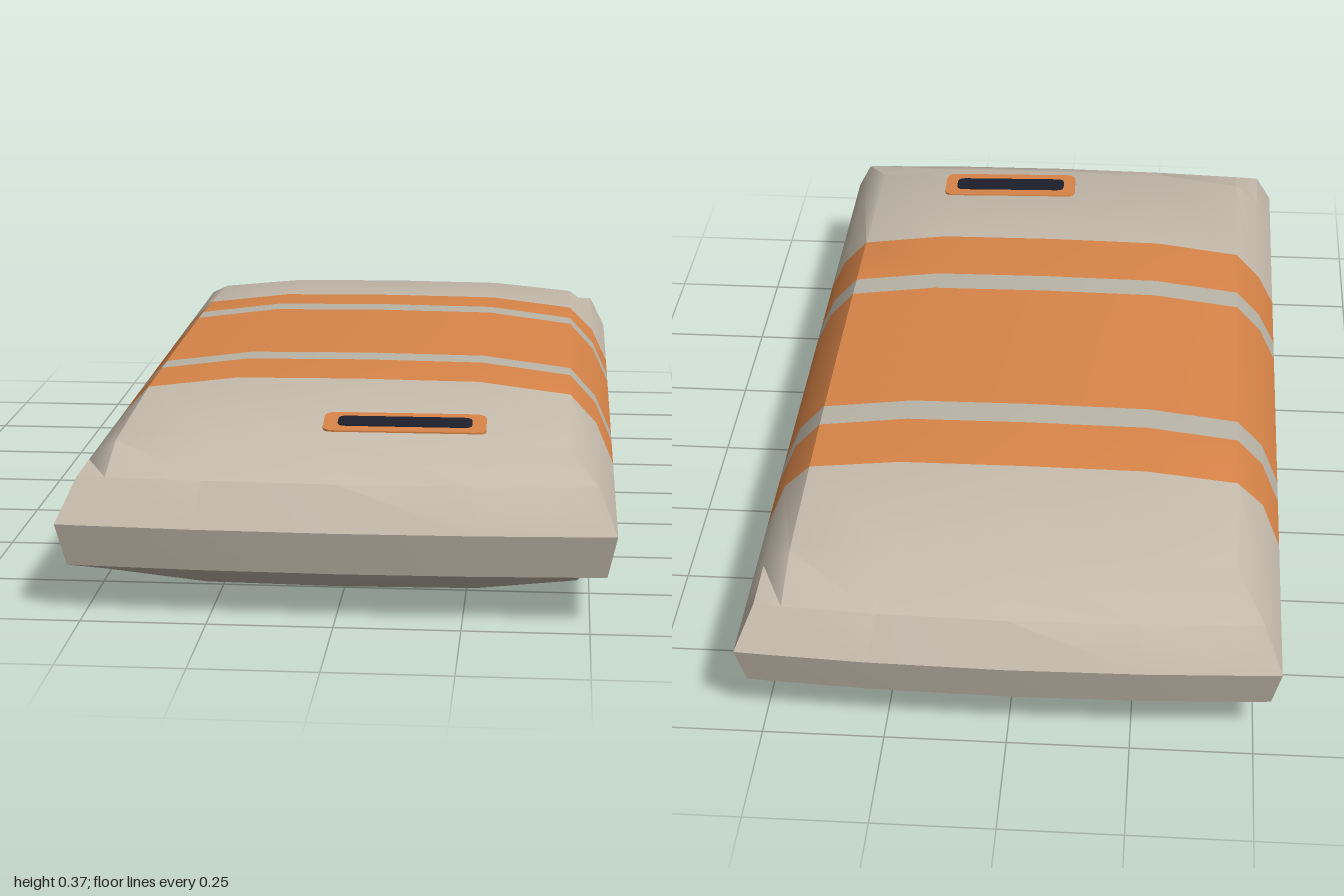
import * as THREE from 'three';
import { toCreasedNormals } from 'three/addons/utils/BufferGeometryUtils.js';

const mat = (name, color) => Object.assign(new THREE.MeshStandardMaterial({ color }), { name });

// Stations across the width and along the length, as fractions of the half size
const ACROSS = [-1, -0.89, -0.51, 0, 0.51, 0.89, 1];
const ALONG = [-1, -0.86, -0.558, -0.396, -0.321, 0, 0.185, 0.256, 0.446, 0.86, 1];
// Colour of each strip between two stations: 0 shell, 1 band, 2 stripe
const STRIPS = [0, 0, 1, 2, 1, 1, 2, 1, 0, 0];

// Horizontal rings: half width, half length, height, and bulge beyond the ring
const TOP = { w: 0.512, l: 0.95, y: 0.28, bulge: 0.09 };
const MIDDLE = { w: 0.55, l: 1.0, y: 0.195, bulge: 0 };
const BOTTOM = { w: 0.532, l: 0.975, y: 0.105, bulge: -0.101 };

// Pillow profile: nearly flat in the centre, dropping quickly at the rim
function dome(v, knee, shoulder) {
  const a = Math.abs(v);
  const pts = [[0, 1], [knee, 0.97], [shoulder, 0.69], [1, 0]];
  for (let i = 0; i < 3; i++) {
    const [x0, y0] = pts[i], [x1, y1] = pts[i + 1];
    if (a <= x1) return y0 + (y1 - y0) * (a - x0) / (x1 - x0);
  }
  return 0;
}

function point(ring, s, t) {
  const y = ring.y + ring.bulge * dome(s, 0.51, 0.89) * dome(t, 0.446, 0.86);
  return new THREE.Vector3(ring.w * s, y, t * (ring.l - 0.02 * s * s * t * t));
}

function bodyGeometry() {
  const faces = [[], [], []];
  const quad = (m, a, b, c, d) => {
    for (const p of [a, b, c, a, c, d]) faces[m].push(p.x, p.y, p.z);
  };
  // Closed cross-section: over the top, down one side, back underneath
  const section = t => [
    ...ACROSS.map(s => point(TOP, s, t)),
    point(MIDDLE, 1, t),
    ...[...ACROSS].reverse().map(s => point(BOTTOM, s, t)),
    point(MIDDLE, -1, t),
  ];
  STRIPS.forEach((m, k) => {
    const p = section(ALONG[k]), q = section(ALONG[k + 1]);
    p.forEach((_, i) => {
      const j = (i + 1) % p.length;
      quad(m, p[i], q[i], q[j], p[j]);
    });
  });
  // Bevelled end walls
  for (const end of [1, -1])
    for (const [hi, lo] of [[TOP, MIDDLE], [MIDDLE, BOTTOM]])
      for (let i = 0; i < ACROSS.length - 1; i++) {
        const c = [point(hi, ACROSS[i], end), point(lo, ACROSS[i], end),
          point(lo, ACROSS[i + 1], end), point(hi, ACROSS[i + 1], end)];
        quad(0, ...(end > 0 ? c : c.reverse()));
      }
  const geo = new THREE.BufferGeometry();
  geo.setAttribute('position', new THREE.Float32BufferAttribute(faces.flat(), 3));
  let start = 0;
  faces.forEach((f, m) => {
    geo.addGroup(start, f.length / 3, m);
    start += f.length / 3;
  });
  return toCreasedNormals(geo, 0.6);
}

// Thin plate with rounded corners, lying flat
function plate(name, w, h, r, material) {
  const s = new THREE.Shape();
  const x = w / 2, y = h / 2;
  s.moveTo(-x + r, -y);
  s.lineTo(x - r, -y).quadraticCurveTo(x, -y, x, -y + r);
  s.lineTo(x, y - r).quadraticCurveTo(x, y, x - r, y);
  s.lineTo(-x + r, y).quadraticCurveTo(-x, y, -x, y - r);
  s.lineTo(-x, -y + r).quadraticCurveTo(-x, -y, -x + r, -y);
  const geo = new THREE.ExtrudeGeometry(s, { depth: 0.006, bevelEnabled: false, curveSegments: 3 });
  geo.rotateX(-Math.PI / 2);
  const mesh = new THREE.Mesh(geo, material);
  mesh.name = name;
  return mesh;
}

export function createModel() {
  const shell = mat('warmGrey', 0xc6bcad);
  const orange = mat('orange', 0xd98549);
  const stripe = mat('paleGrey', 0xbab5a8);
  const dark = mat('darkNavy', 0x1d1f2b);

  const model = new THREE.Group();
  model.name = 'slab';

  const body = new THREE.Mesh(bodyGeometry(), [shell, orange, stripe]);
  body.name = 'body';
  model.add(body);

  // Slot with a coloured surround, following the slope of the top
  const slot = new THREE.Group();
  slot.name = 'slot';
  const opening = plate('slotOpening', 0.272, 0.062, 0.018, dark);
  opening.position.y = 0.002;
  slot.add(plate('slotSurround', 0.33, 0.122, 0.025, orange), opening);
  slot.position.set(0.122, 0.344, 0.725);
  slot.rotation.set(0.06, 0.03, -0.008);
  model.add(slot);

  return model;
}
